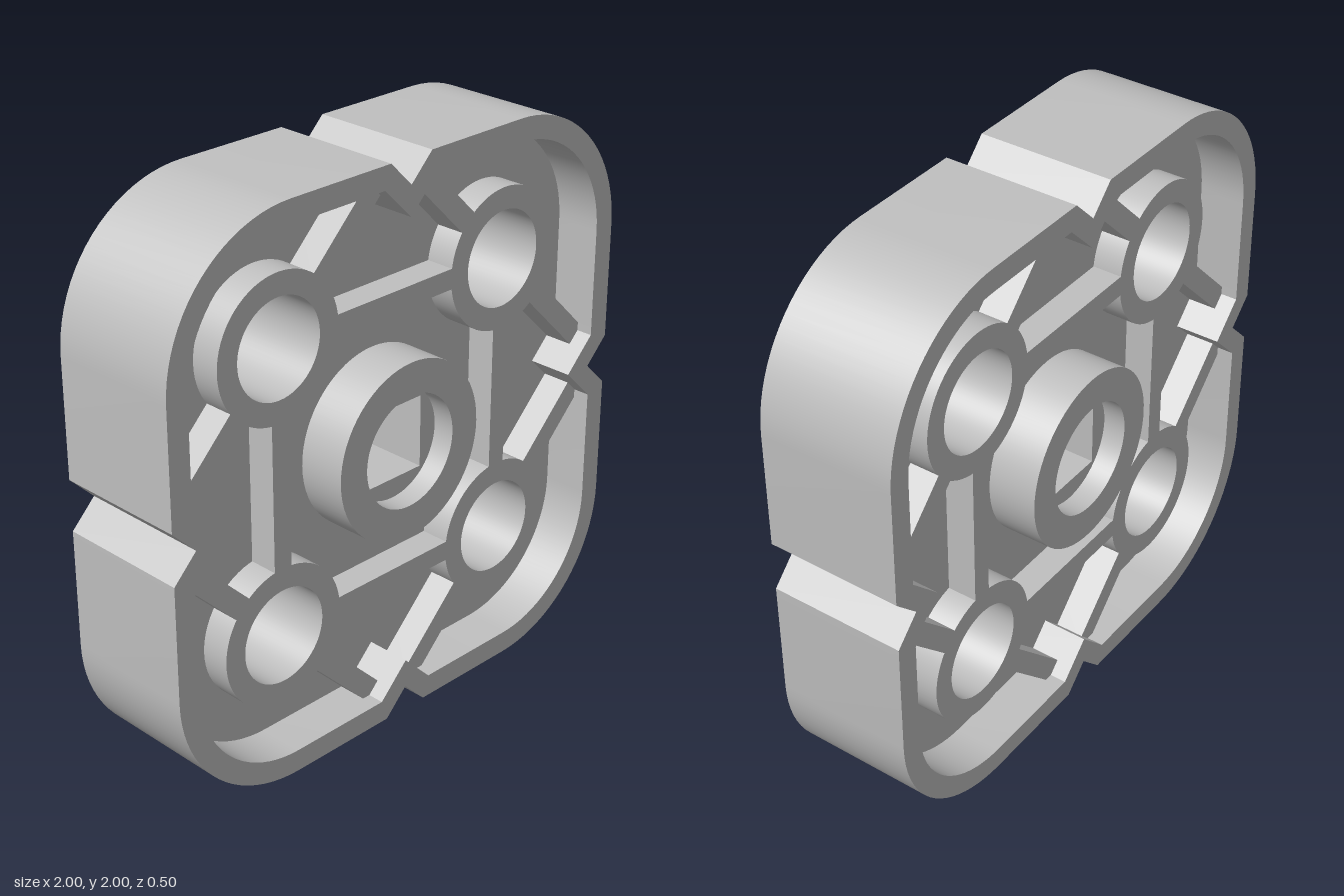
import * as THREE from 'three';
import { toCreasedNormals } from 'three/addons/utils/BufferGeometryUtils.js';

const HUB = 0.505;      // offset of the corner hubs from the centre
const RIM_Z = 0.24, HUB_Z = 0.18, FLOOR_Z = 0.075, CENTRE_Z = 0.25, SEAT_Z = 0.17;

// Rounded square with a V notch in the middle of each side
function trace(path, half, radius, notchHalf, notchTip) {
  const c = half - radius;
  const pts = [];
  for (let side = 0; side < 4; side++) {
    const side2d = [[half, -notchHalf], [notchTip, 0], [half, notchHalf]];
    for (let i = 0; i <= 20; i++) {
      const a = (i / 20) * Math.PI / 2;
      side2d.push([c + radius * Math.cos(a), c + radius * Math.sin(a)]);
    }
    const turn = side * Math.PI / 2;
    for (const [x, y] of side2d) pts.push(new THREE.Vector2(x, y).rotateAround(new THREE.Vector2(), turn));
  }
  path.setFromPoints(pts);
  return path;
}
const outer = (path) => trace(path, 1, 0.495, 0.09, 0.91);
const inner = (path) => trace(path, 0.92, 0.415, 0.115, 0.805);

function circle(path, x, y, r) {
  path.absarc(x, y, r, 0, Math.PI * 2, false);
  return path;
}

function square(path, h) {
  path.setFromPoints([[-h, -h], [h, -h], [h, h], [-h, h]].map(([x, y]) => new THREE.Vector2(x, y)));
  return path;
}

// Extrude symmetrically about z = 0, or from z0 to z1
function slab(shape, z1, z0 = -z1) {
  const g = new THREE.ExtrudeGeometry(shape, { depth: z1 - z0, bevelEnabled: false, curveSegments: 32 });
  g.translate(0, 0, z0);
  return toCreasedNormals(g, Math.PI / 6);
}

export function createModel() {
  const model = new THREE.Group();
  const body = new THREE.Group();
  body.name = 'block';
  body.position.y = 1;
  model.add(body);
  const grey = new THREE.MeshStandardMaterial({ color: 0xc0c0c0 });
  grey.name = 'grey plastic';

  const add = (name, geometry) => {
    const mesh = new THREE.Mesh(geometry, grey);
    mesh.name = name;
    body.add(mesh);
    return mesh;
  };

  // Notched outer wall
  const rim = outer(new THREE.Shape());
  rim.holes.push(inner(new THREE.Path()));
  add('rim', slab(rim, RIM_Z));

  // Recessed web in the middle of the thickness
  const corners = [[1, 1], [-1, 1], [-1, -1], [1, -1]];
  const web = inner(new THREE.Shape());
  for (const [sx, sy] of corners) web.holes.push(circle(new THREE.Path(), sx * HUB, sy * HUB, 0.2));
  web.holes.push(circle(new THREE.Path(), 0, 0, 0.28));
  add('web', slab(web, FLOOR_Z));

  // Corner hubs and the diagonal ribs running to the notches
  for (const [sx, sy] of corners) {
    const ring = circle(new THREE.Shape(), sx * HUB, sy * HUB, 0.25);
    ring.holes.push(circle(new THREE.Path(), sx * HUB, sy * HUB, 0.17));
    add('cornerHub', slab(ring, HUB_Z));
    for (const dir of [1, -1]) {
      const from = 0.235, to = 0.59, mid = (from + to) / 2 * Math.SQRT1_2;
      const rib = add('diagonalRib', new THREE.BoxGeometry(to - from, 0.078, HUB_Z * 2));
      rib.position.set(sx * (HUB - dir * mid), sy * (HUB + dir * mid), 0);
      rib.rotation.z = -sx * sy * Math.PI / 4;
    }
  }

  // Straight ribs between neighbouring hubs
  for (const s of [1, -1]) {
    const length = 2 * (HUB - 0.24);
    add('crossRib', new THREE.BoxGeometry(length, 0.072, HUB_Z * 2)).position.y = s * HUB;
    add('uprightRib', new THREE.BoxGeometry(0.072, length, HUB_Z * 2)).position.x = s * HUB;
  }

  // Centre hub: round collar on each face and a core with a square socket
  const collar = circle(new THREE.Shape(), 0, 0, 0.317);
  collar.holes.push(circle(new THREE.Path(), 0, 0, 0.2));
  add('centreCollar', slab(collar, CENTRE_Z));
  const core = circle(new THREE.Shape(), 0, 0, 0.2);
  core.holes.push(square(new THREE.Path(), 0.13));
  add('squareSocket', slab(core, SEAT_Z));

  return model;
}
